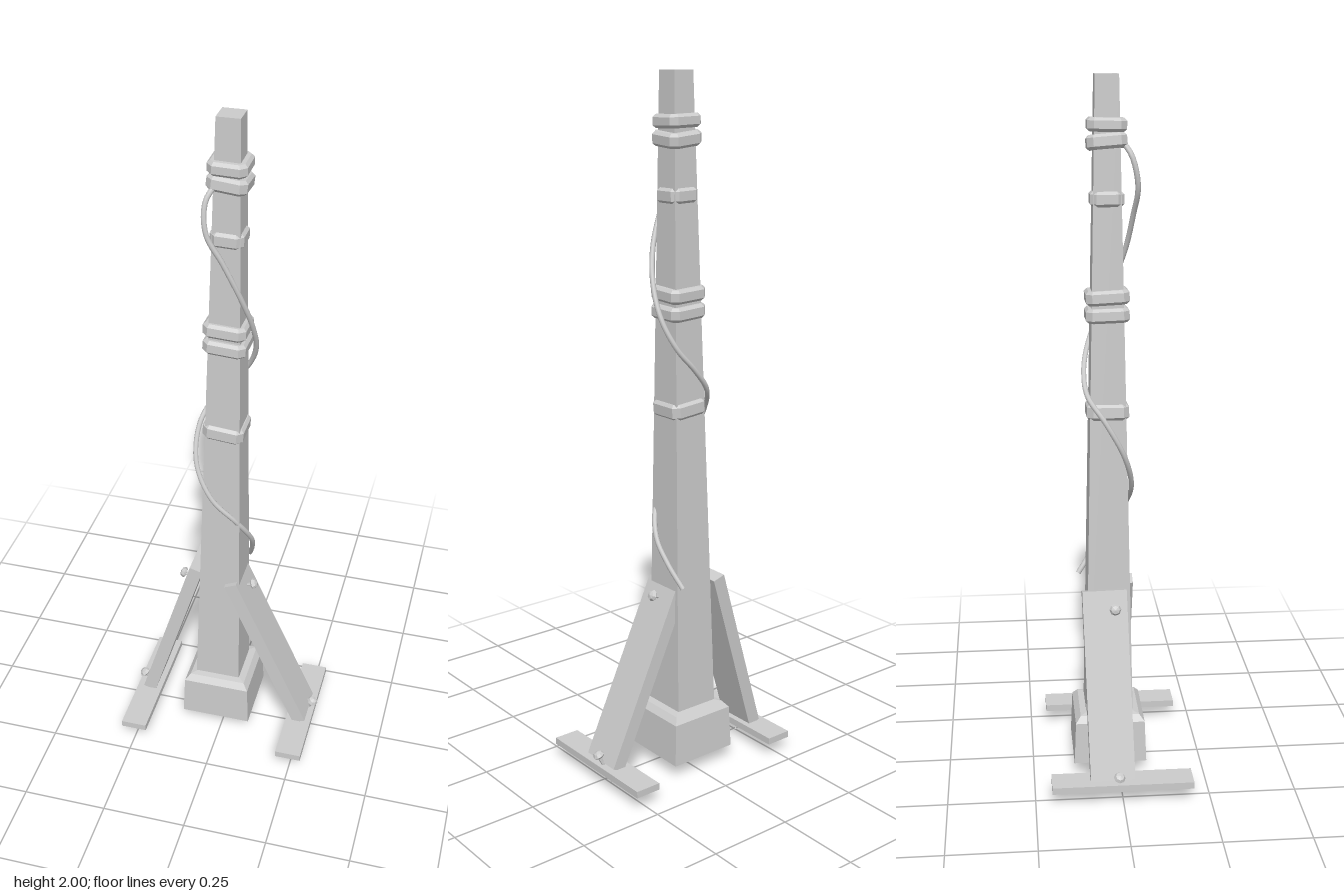
import * as THREE from 'three';

const grey = new THREE.MeshStandardMaterial({ color: 0xcccccc, flatShading: true });
const smooth = new THREE.MeshStandardMaterial({ color: 0xcccccc });
const V = (x, y, z) => new THREE.Vector3(x, y, z);
const CZ = -0.025;

function add(parent, name, geometry, material = grey) {
  const mesh = new THREE.Mesh(geometry, material);
  mesh.name = name;
  parent.add(mesh);
  return mesh;
}

// Post axis drifts slightly in x as it rises
const axisX = y => -0.02 + 0.025 * (y - 0.1) / 1.9;

// Square ring with cut corners and bevelled rims, lying flat
function collarGeometry(half, height) {
  const bevel = 0.008, h = half - bevel, c = 0.012;
  const shape = new THREE.Shape([
    [h, -h + c], [h, h - c], [h - c, h], [-h + c, h],
    [-h, h - c], [-h, -h + c], [-h + c, -h], [h - c, -h],
  ].map(p => new THREE.Vector2(...p)));
  const depth = height - 2 * bevel;
  const geo = new THREE.ExtrudeGeometry(shape, {
    depth, bevelEnabled: true, bevelThickness: bevel, bevelSize: bevel, bevelSegments: 1,
  });
  return geo.translate(0, 0, -depth / 2).rotateX(-Math.PI / 2);
}

// Nail with a domed head, pointing from head to tip
function addNail(parent, name, head, tip) {
  const nail = new THREE.Group();
  nail.name = name;
  const length = head.distanceTo(tip);
  const dome = [[0.0, -0.004], [0.012, -0.004], [0.017, 0.002], [0.012, 0.011], [0, 0.015]];
  add(nail, 'nailHead', new THREE.LatheGeometry(dome.map(p => new THREE.Vector2(...p)), 8));
  add(nail, 'nailShaft', new THREE.CylinderGeometry(0.006, 0.002, length, 6).translate(0, -length / 2, 0));
  nail.position.copy(head);
  nail.quaternion.setFromUnitVectors(V(0, 1, 0), head.clone().sub(tip).normalize());
  parent.add(nail);
}

// Leaning plank from top to bottom, with its broad face turned sideways
function addBrace(parent, name, top, bottom) {
  const up = top.clone().sub(bottom);
  const length = up.length();
  up.normalize();
  const out = V(0, 0, 1).cross(up).normalize();
  const side = out.clone().cross(up).normalize();
  const mesh = add(parent, name, new THREE.BoxGeometry(0.04, length, 0.127));
  mesh.quaternion.setFromRotationMatrix(new THREE.Matrix4().makeBasis(out, up, side));
  mesh.position.copy(top).add(bottom).multiplyScalar(0.5);
}

export function createModel() {
  const group = new THREE.Group();

  // Tapering square post
  const post = new THREE.CylinderGeometry(0.032 * Math.SQRT2, 0.07 * Math.SQRT2, 1.9, 4);
  post.rotateY(Math.PI / 4).translate(0, 1.05, CZ);
  const pos = post.attributes.position;
  for (let i = 0; i < pos.count; i++) pos.setX(i, pos.getX(i) + axisX(pos.getY(i)));
  add(group, 'post', post);

  // Base block with sloped shoulder and a recess underneath
  const profile = [[0, 0.095], [0.068, 0.095], [0.074, 0.04], [0.106, 0.04], [0.101, 0.165], [0.086, 0.183], [0.066, 0.187]];
  const base = new THREE.LatheGeometry(
    profile.map(([r, y]) => new THREE.Vector2(r * Math.SQRT2, y)), 4, Math.PI / 4);
  add(group, 'base', base).position.set(-0.016, 0, CZ);

  // Collars: height, half width, thickness, tilt about z and x
  const collars = [
    [1.87, 0.053, 0.037, -0.03, 0.02], [1.825, 0.054, 0.04, -0.1, -0.08],
    [1.675, 0.046, 0.042, -0.03, 0.0], [1.41, 0.06, 0.04, -0.05, -0.05],
    [1.36, 0.06, 0.04, -0.06, -0.03], [1.087, 0.059, 0.045, -0.09, 0.0],
  ];
  for (const [y, half, height, tiltZ, tiltX] of collars) {
    const collar = add(group, 'collar', collarGeometry(half, height));
    collar.position.set(axisX(y), y, CZ);
    collar.rotation.set(tiltX, 0, tiltZ);
  }

  // Cable winding round the post
  const path = [
    [-0.02, 1.835, 0.01], [-0.045, 1.79, 0.04], [-0.04, 1.71, 0.057], [0, 1.63, 0.048],
    [0.042, 1.53, 0.03], [0.068, 1.43, -0.005], [0.07, 1.34, -0.045], [0.04, 1.26, -0.077],
    [-0.01, 1.2, -0.09], [-0.058, 1.14, -0.083], [-0.09, 1.07, -0.035], [-0.085, 0.97, 0.018],
    [-0.035, 0.87, 0.042], [0.035, 0.79, 0.028], [0.068, 0.71, -0.015], [0.063, 0.64, -0.062],
    [0.045, 0.575, -0.107],
  ];
  const curve = new THREE.CatmullRomCurve3(path.map(p => V(...p)));
  smooth.side = THREE.DoubleSide;
  add(group, 'cable', new THREE.TubeGeometry(curve, 90, 0.0075, 8), smooth);

  // Braces
  addBrace(group, 'rightBrace', V(-0.092, 0.575, -0.041), V(-0.251, 0.058, -0.029));
  addBrace(group, 'leftBrace', V(0.023, 0.562, -0.012), V(0.25, 0.058, -0.006));

  // Foot boards
  for (const [name, x] of [['rightFoot', -0.251], ['leftFoot', 0.246]]) {
    add(group, name, new THREE.BoxGeometry(0.078, 0.02, 0.404)).position.set(x, 0.05, -0.001);
  }

  // Nails through the braces and feet
  addNail(group, 'rightUpperNail', V(-0.135, 0.532, -0.012), V(-0.075, 0.514, -0.012));
  addNail(group, 'leftUpperNail', V(0.078, 0.533, -0.012), V(0.015, 0.505, -0.012));
  addNail(group, 'rightLowerNail', V(-0.279, 0.077, -0.012), V(-0.236, 0.01, -0.022));
  addNail(group, 'leftLowerNail', V(0.278, 0.088, -0.012), V(0.245, 0, -0.03));

  return group;
}
